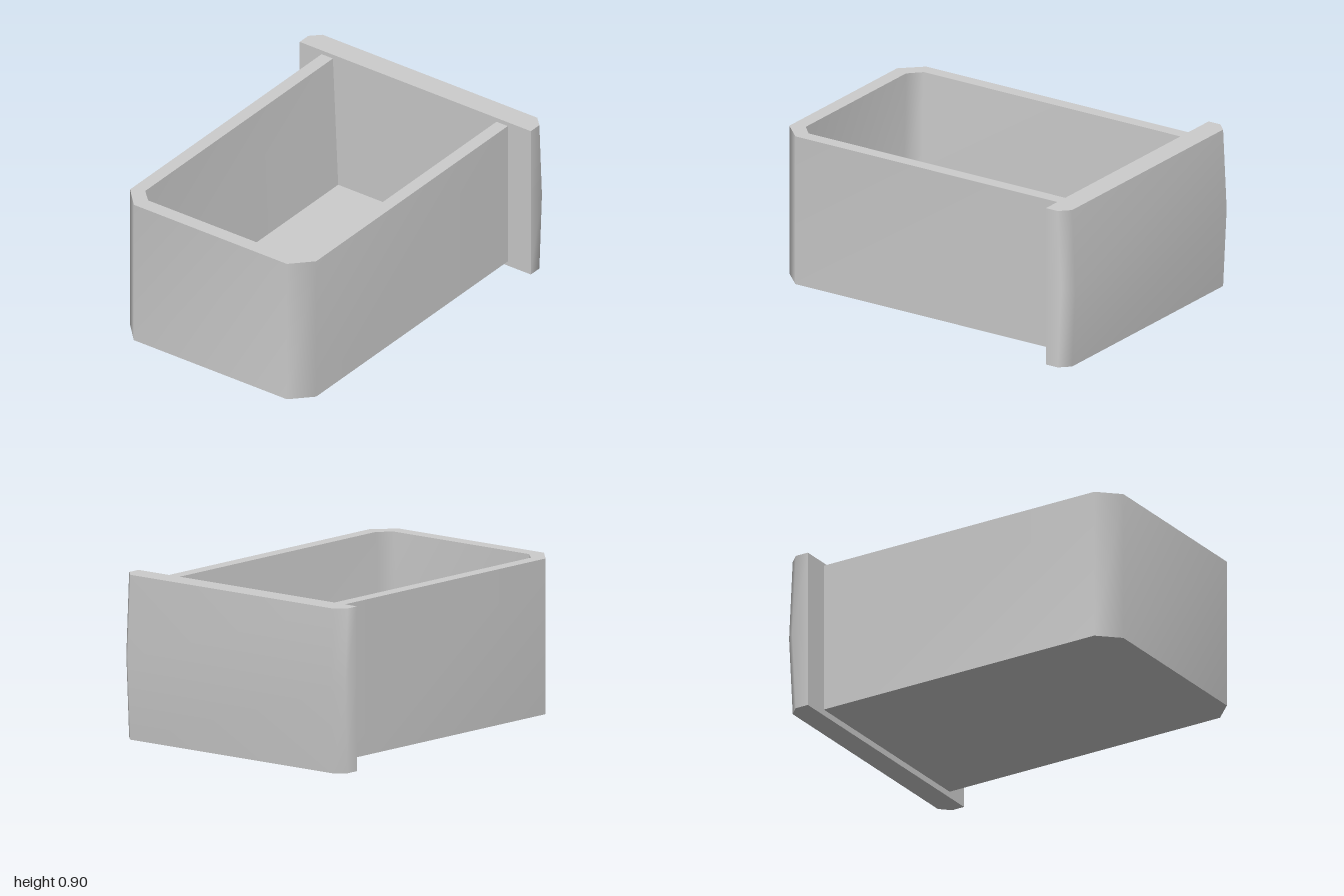
import * as THREE from 'three';

const grey = new THREE.MeshStandardMaterial({ color: 0xcccccc });
grey.name = 'plainGrey';

// Smooth surface skinned through rows of [x, y, z] points
function skin(name, ...rows) {
  const n = rows[0].length, index = [];
  for (let r = 0; r < rows.length - 1; r++) {
    for (let i = 0; i < n - 1; i++) {
      const a = r * n + i, b = a + n;
      index.push(a, a + 1, b + 1, a, b + 1, b);
    }
  }
  const geo = new THREE.BufferGeometry();
  geo.setAttribute('position', new THREE.Float32BufferAttribute(rows.flat(2), 3));
  geo.setIndex(index);
  geo.computeVertexNormals();
  const mesh = new THREE.Mesh(geo, grey);
  mesh.name = name;
  return mesh;
}

// Mirrored U-shaped outline at one height, from half of its [x, z] points
const outline = (y, half) => [
  ...half.map(([x, z]) => [x, y, z]),
  ...[...half].reverse().map(([x, z]) => [-x, y, z]),
];

// Flat cap across an outline, facing up or down
function cap(name, o, up) {
  const near = o.slice(0, 3), far = o.slice(3).reverse();
  return up ? skin(name, near, far) : skin(name, far, near);
}

export function createModel() {
  const model = new THREE.Group();
  model.name = 'drawer';

  // Tray: bevelled corners at the front, open towards the panel
  const back = -0.84, base = 0.03, floor = 0.1, top = 0.88;
  const outer = [[-0.62, back], [-0.62, 0.885], [-0.51, 1]];
  const outBase = outline(base, outer), outTop = outline(top, outer);
  const inFloor = outline(floor, [[-0.51, back], [-0.51, 0.85], [-0.445, 0.918]]);
  const inTop = outline(top, [[-0.545, back], [-0.545, 0.85], [-0.475, 0.918]]);
  const ends = (low, high) => [high[0], low[0], low[5], high[5]];

  const tray = new THREE.Group();
  tray.name = 'tray';
  tray.add(
    skin('outerWalls', outBase, outTop),
    skin('innerWalls', inTop, inFloor),
    skin('rim', outTop, inTop),
    cap('trayFloor', inFloor, true),
    cap('underside', outBase, false),
    skin('openEnd', ends(inFloor, inTop), ends(outBase, outTop)),
  );

  // End panel: bevelled sides, bulging slightly at mid height
  const section = (y, bulge) =>
    outline(y, [[0.77, -0.845], [0.77, -0.922 - bulge], [0.715, -0.977 - bulge]]);
  const low = section(0, 0), mid = section(0.45, 0.023), high = section(0.9, 0);

  const panel = new THREE.Group();
  panel.name = 'endPanel';
  panel.add(
    skin('panelFace', low, mid, high),
    cap('panelTop', high, true),
    cap('panelBottom', low, false),
    skin('panelInside', [low[5], low[0]], [high[5], high[0]]),
  );

  model.add(tray, panel);
  return model;
}
